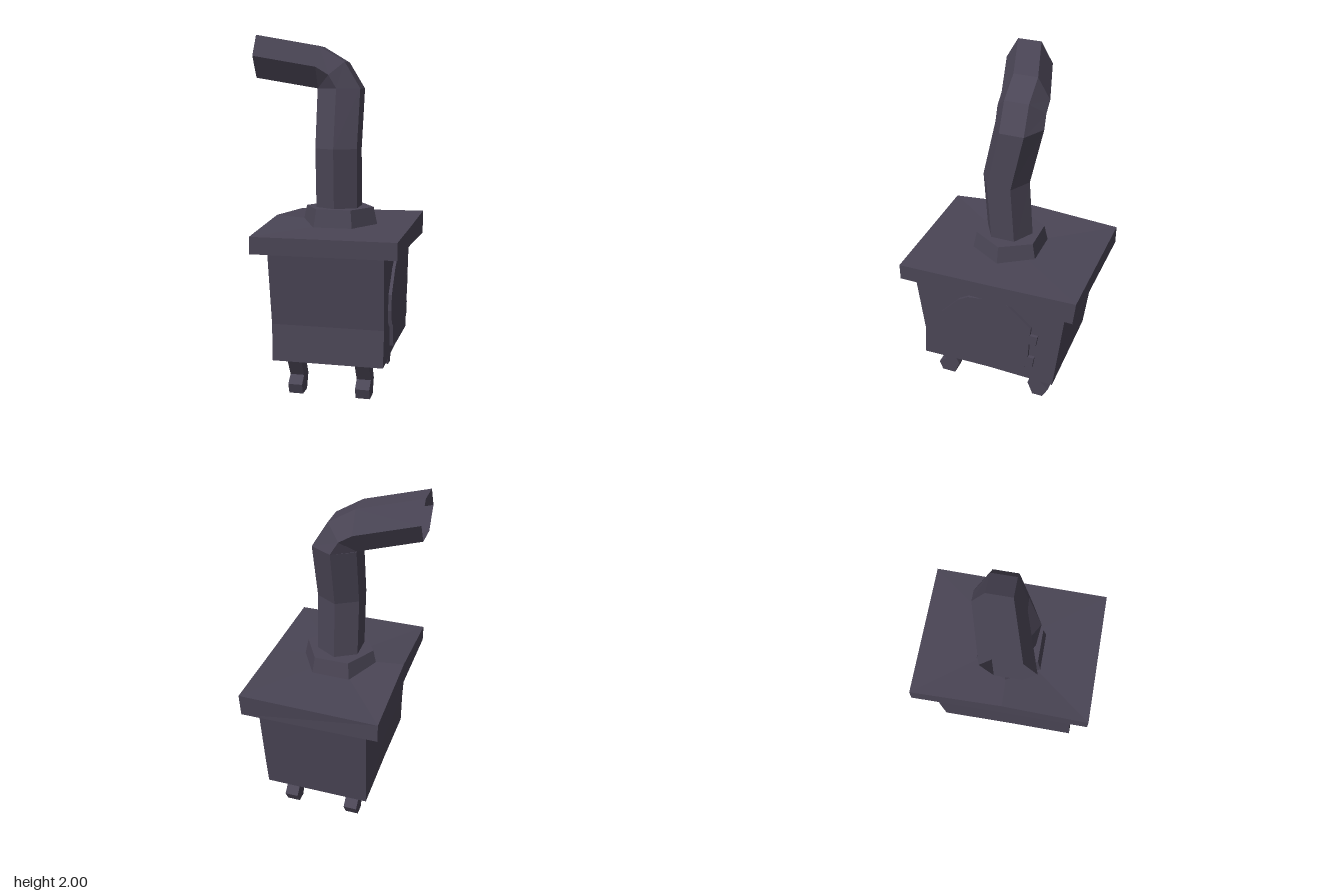
import * as THREE from 'three';

// Skin between rings of [x, y, z] points, each counter-clockwise seen from the far end.
function loft(rings, capStart = true, capEnd = true) {
  const pos = [];
  const tri = (a, b, c) => pos.push(...a, ...b, ...c);
  const n = rings[0].length;
  for (let i = 0; i < rings.length - 1; i++) {
    for (let j = 0; j < n; j++) {
      const k = (j + 1) % n;
      tri(rings[i][j], rings[i][k], rings[i + 1][k]);
      tri(rings[i][j], rings[i + 1][k], rings[i + 1][j]);
    }
  }
  const cap = (ring, flip) => {
    const mid = [0, 1, 2].map(a => ring.reduce((s, p) => s + p[a], 0) / n);
    for (let j = 0; j < n; j++) {
      const k = (j + 1) % n;
      if (flip) tri(mid, ring[k], ring[j]);
      else tri(mid, ring[j], ring[k]);
    }
  };
  if (capStart) cap(rings[0], true);
  if (capEnd) cap(rings[rings.length - 1], false);
  const g = new THREE.BufferGeometry();
  g.setAttribute('position', new THREE.Float32BufferAttribute(pos, 3));
  g.computeVertexNormals();
  return g;
}

// Extrude a (z, y) outline along +x, from x0 by the given depth.
function sidePlate(points, x0, depth) {
  const shape = new THREE.Shape(points.map(([z, y]) => new THREE.Vector2(-z, y)));
  const g = new THREE.ExtrudeGeometry(shape, { depth, bevelEnabled: false });
  g.rotateY(Math.PI / 2);
  g.translate(x0, 0, 0);
  return g;
}

export function createModel() {
  const group = new THREE.Group();
  const iron = new THREE.MeshStandardMaterial({ color: 0x4a4555, flatShading: true, side: THREE.DoubleSide });
  iron.name = 'dark iron';
  const add = (name, geometry) => {
    const m = new THREE.Mesh(geometry, iron);
    m.name = name;
    group.add(m);
  };

  // Firebox: pinched below the middle, bottom edge slightly arched
  const section = (y, xl, xr, zb, zf, arch = 0) => [
    [xr, y, zb], [xl, y, zb], [xl, y + arch, (zb + zf) / 2],
    [xl, y, zf], [xr, y, zf], [xr, y + arch, (zb + zf) / 2],
  ];
  add('firebox', loft([
    section(0.205, -0.265, 0.355, -0.38, 0.45, 0.01),
    section(0.41, -0.27, 0.358, -0.405, 0.437),
    section(0.84, -0.28, 0.362, -0.455, 0.483),
  ]));

  // Lid: slightly warped slab
  add('lid', loft([
    [[0.44, 0.79, -0.51], [-0.365, 0.81, -0.53], [-0.365, 0.82, 0],
      [-0.365, 0.815, 0.53], [0.44, 0.815, 0.53], [0.44, 0.812, 0.05]],
    [[0.44, 0.93, -0.525], [-0.365, 0.92, -0.53], [-0.365, 0.955, 0.02],
      [-0.365, 0.91, 0.53], [0.44, 0.91, 0.53], [0.44, 0.918, 0]],
  ]));

  // Tapered hexagonal collar around the pipe
  const collar = new THREE.CylinderGeometry(0.2, 0.226, 0.12, 6);
  collar.rotateY(Math.PI / 6);
  collar.translate(0.018, 0.96, 0.011);
  add('collar', collar);

  // Stove pipe: [inner x, inner y, outer x, outer y, centre z] per ring
  const pipeRings = [
    [-0.105, 0.98, 0.135, 0.98, 0.014],
    [-0.105, 1.36, 0.137, 1.36, 0.037],
    [-0.11, 1.70, 0.14, 1.70, -0.04],
    [-0.108, 1.70, 0.05, 1.85, -0.035],
    [-0.106, 1.70, -0.10, 1.94, -0.03],
    [-0.44, 1.76, -0.44, 2.0, 0.072],
  ].map(([ix, iy, ox, oy, cz]) => {
    const ring = [];
    for (let j = 0; j < 6; j++) {
      const a = Math.PI / 6 + j * Math.PI / 3;
      const t = 0.5 + 0.5 * Math.cos(a) / Math.cos(Math.PI / 6);
      ring.push([ix + (ox - ix) * t, iy + (oy - iy) * t, cz - 0.14 * Math.sin(a)]);
    }
    return ring;
  });
  add('stovePipe', loft(pipeRings, false, false));

  // Door with two hinges and a latch notch in its outline
  add('door', sidePlate([
    [0.313, 0.58], [0.2, 0.705], [0.138, 0.743], [0.016, 0.76], [-0.11, 0.748],
    [-0.18, 0.685], [-0.25, 0.62], [-0.244, 0.568], [-0.29, 0.568], [-0.28, 0.5],
    [-0.239, 0.504], [-0.233, 0.4], [-0.27, 0.4], [-0.26, 0.325], [-0.217, 0.325],
    [-0.196, 0.265], [0.244, 0.27], [0.27, 0.403], [0.302, 0.403], [0.318, 0.49],
  ], 0.345, 0.033));

  // Curved feet
  const frontFoot = [[0.414, 0.22], [0.414, 0.2], [0.355, 0.1], [0.403, 0.058], [0.382, 0],
    [0.297, 0], [0.265, 0.085], [0.297, 0.15], [0.292, 0.22]];
  const rearFoot = [[-0.2, 0.22], [-0.2, 0.2], [-0.228, 0.15], [-0.196, 0.085], [-0.228, 0],
    [-0.292, 0], [-0.33, 0.07], [-0.28, 0.117], [-0.334, 0.2], [-0.334, 0.22]];
  for (const [side, x] of [['Right', -0.19], ['Left', 0.192]]) {
    add('frontFoot' + side, sidePlate(frontFoot, x, 0.08));
    add('rearFoot' + side, sidePlate(rearFoot, x, 0.08));
  }
  return group;
}
